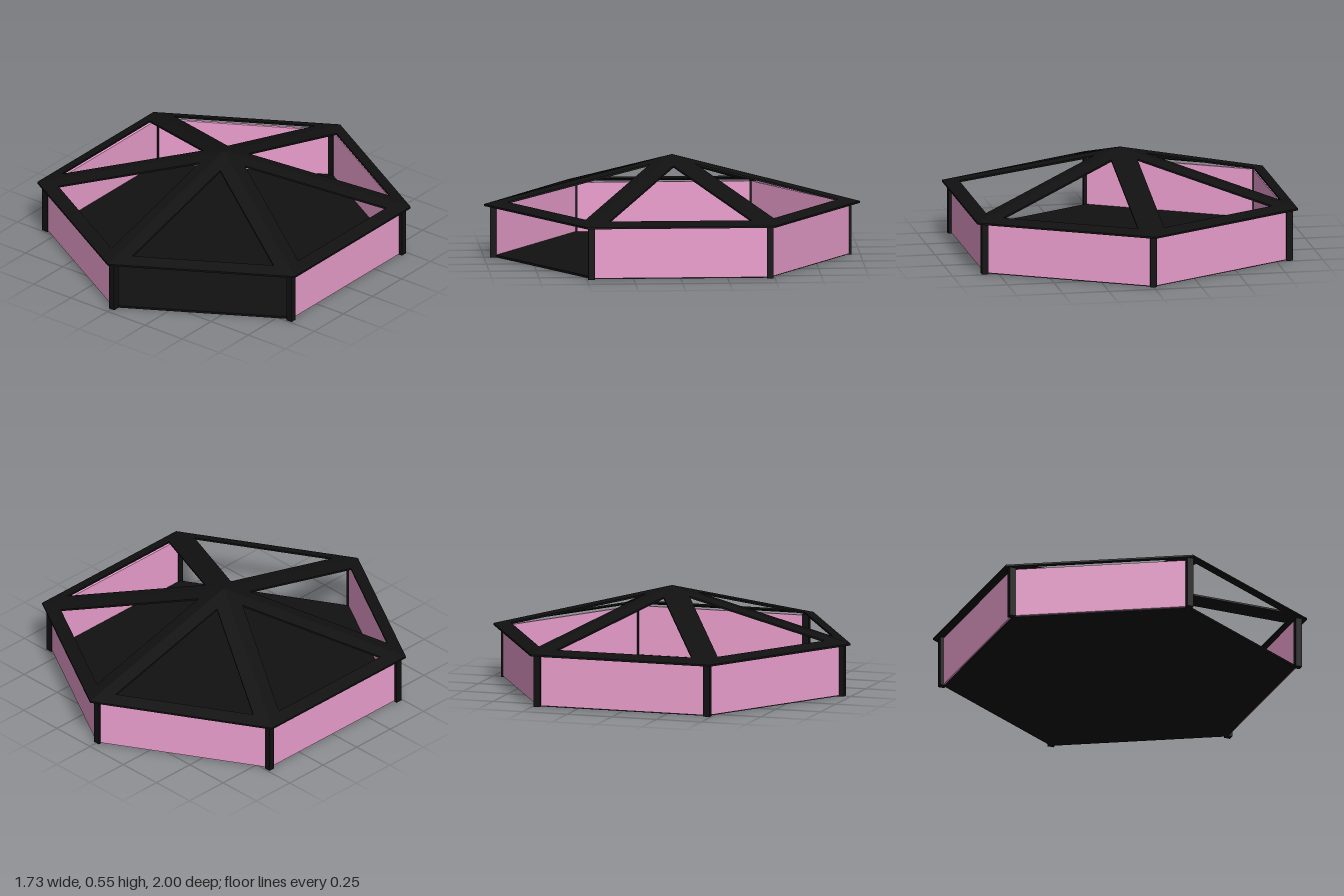
import * as THREE from 'three';

const APOTHEM = Math.sqrt(3) / 2;   // roof hexagon with corner radius 1
const WALL_R = 0.95;                // corner radius of the wall hexagon
const EAVE = 0.275, RISE = 0.26, THICK = 0.01, BAND = 0.07;

// One roof slope: triangle with a triangular opening, tilted by raising it toward the centre
function roofPanelGeometry() {
  const corners = [[0, 0], [APOTHEM, -0.5], [APOTHEM, 0.5]];
  const cx = APOTHEM * 2 / 3, k = 1 - BAND / (APOTHEM / 3);
  const shape = new THREE.Shape(corners.map(([x, y]) => new THREE.Vector2(x, y)));
  shape.holes.push(new THREE.Path(
    corners.map(([x, y]) => new THREE.Vector2(cx + (x - cx) * k, y * k)).reverse()));
  const geo = new THREE.ExtrudeGeometry(shape, { depth: THICK, bevelEnabled: false });
  geo.rotateX(-Math.PI / 2);
  const p = geo.attributes.position;
  for (let i = 0; i < p.count; i++) {
    p.setY(i, p.getY(i) + EAVE + RISE * (1 - p.getX(i) / APOTHEM));
  }
  geo.computeVertexNormals();
  return geo;
}

export function createModel() {
  const model = new THREE.Group();
  model.name = 'hexagonalPavilion';
  const black = new THREE.MeshStandardMaterial({ color: 0x111111 });
  const pink = new THREE.MeshStandardMaterial({ color: 0xeda0cf });

  const add = (name, geo, mat, parent) => {
    const mesh = new THREE.Mesh(geo, mat);
    mesh.name = name;
    parent.add(mesh);
    return mesh;
  };
  const group = (name) => {
    const g = new THREE.Group();
    g.name = name;
    model.add(g);
    return g;
  };

  // Floor slab, corners toward +z and -z
  const floorGeo = new THREE.CylinderGeometry(0.94, 0.94, 0.012, 6).toNonIndexed();
  floorGeo.computeVertexNormals();
  add('floor', floorGeo, black, model).position.y = 0.006;

  const roof = group('roof'), walls = group('walls'), posts = group('posts');
  const roofGeo = roofPanelGeometry();
  const wallGeo = new THREE.BoxGeometry(0.015, 0.27, WALL_R).translate(
    WALL_R * APOTHEM - 0.0075, 0.14, 0);
  const postGeo = new THREE.BoxGeometry(0.035, 0.28, 0.035).translate(0, 0.14, 0);

  for (let i = 0; i < 6; i++) {
    const angle = i * Math.PI / 3;
    add('roofPanel', roofGeo, black, roof).rotation.y = angle;
    // The front side toward +x is left open as the entrance
    if (i !== 5) add('wallPanel', wallGeo, pink, walls).rotation.y = angle;

    // Corner posts; the rear one is set slightly inside the walls
    const r = i === 3 ? 0.935 : WALL_R;
    add('post', postGeo, black, posts).position.set(r * Math.sin(angle), 0, r * Math.cos(angle));
  }
  return model;
}
